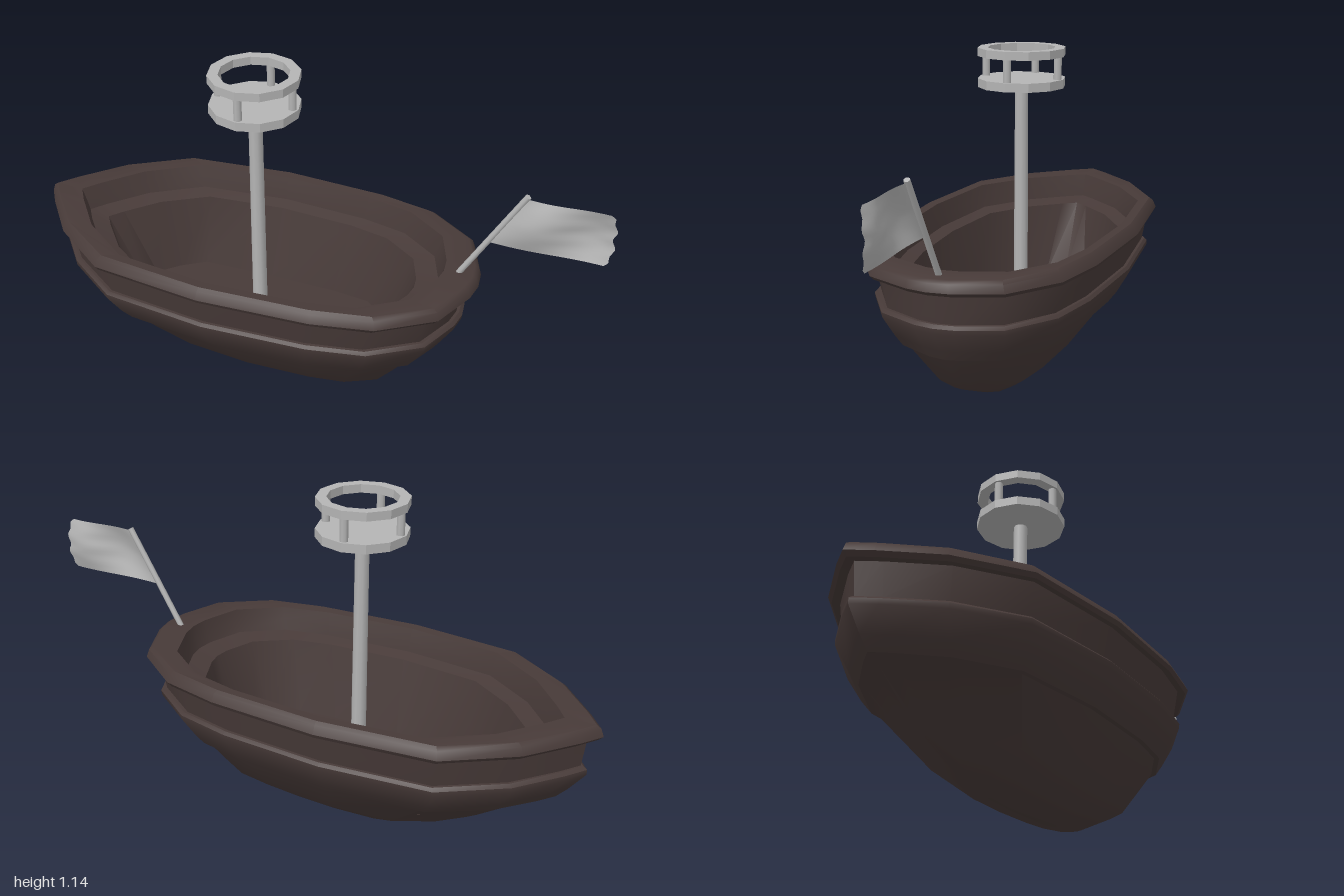
import * as THREE from 'three';
import { toCreasedNormals } from 'three/addons/utils/BufferGeometryUtils.js';

const grey = new THREE.MeshStandardMaterial({ color: 0xb4b4b4 });
const cloth = new THREE.MeshStandardMaterial({ color: 0xb4b4b4, side: THREE.DoubleSide });
const wood = new THREE.MeshStandardMaterial({ color: 0x473a38 });

// Half outlines, bow to stern: [share of length, share of half width]
const POINTED = [[0, 0], [0.031, 0.17], [0.112, 0.545], [0.244, 0.9], [0.4875, 1],
  [0.725, 0.945], [0.85, 0.84], [0.956, 0.545], [0.994, 0.17], [1, 0]];
const BLUNT = [[0, 0], [0, 0.36], [0.07, 0.68], [0.16, 0.96], [0.45, 1],
  [0.72, 1], [0.87, 0.93], [0.97, 0.6], [1, 0.36], [1, 0]];

// Sections from keel, up the outside, over the rim and down to the deck:
// [y, bow x, stern x, half width, outline]
const SECTIONS = [
  [0.0, -0.2, -0.2, 0, POINTED],
  [0.007, -0.32, 0.02, 0.03, POINTED],
  [0.028, -0.43, 0.18, 0.092, POINTED],
  [0.105, -0.62, 0.345, 0.185, POINTED],
  [0.26, -0.855, 0.465, 0.296, POINTED],
  [0.262, -0.875, 0.485, 0.31, POINTED],
  [0.3, -0.91, 0.51, 0.338, POINTED],
  [0.37, -0.963, 0.553, 0.377, POINTED],
  [0.388, -0.963, 0.556, 0.379, POINTED],
  [0.398, -0.95, 0.545, 0.37, POINTED],
  [0.398, -0.942, 0.535, 0.36, POINTED],
  [0.505, -0.953, 0.55, 0.38, POINTED],
  [0.503, -0.985, 0.585, 0.4, POINTED],
  [0.517, -1.0, 0.6, 0.407, POINTED],
  [0.543, -0.99, 0.592, 0.394, POINTED],
  [0.553, -0.975, 0.578, 0.382, POINTED],
  [0.55, -0.875, 0.482, 0.35, POINTED],
  [0.505, -0.86, 0.472, 0.338, POINTED],
  [0.468, -0.85, 0.46, 0.33, POINTED],
  [0.455, -0.775, 0.385, 0.287, POINTED],
  [0.19, -0.64, 0.28, 0.215, BLUNT],
  [0.19, -0.18, -0.18, 0, BLUNT],
];

function hullGeometry() {
  const rings = SECTIONS.map(([y, x0, x1, w, outline]) => {
    const half = outline.map(([u, v]) => [x0 + (x1 - x0) * u, y, w * v]);
    const mirrored = half.slice(1, -1).reverse().map(([x, h, z]) => [x, h, -z]);
    return [...half, ...mirrored];
  });
  const pos = [];
  for (let r = 0; r < rings.length - 1; r++) {
    const lo = rings[r], hi = rings[r + 1], n = lo.length;
    for (let i = 0; i < n; i++) {
      const j = (i + 1) % n;
      // The first and last rings are single points, so they form fans
      if (r > 0) pos.push(...lo[i], ...lo[j], ...hi[j]);
      if (r < rings.length - 2) pos.push(...lo[i], ...hi[j], ...hi[i]);
    }
  }
  const g = new THREE.BufferGeometry();
  g.setAttribute('position', new THREE.Float32BufferAttribute(pos, 3));
  return toCreasedNormals(g, 0.7);
}

function add(parent, name, geometry, material, x = 0, y = 0, z = 0) {
  const m = new THREE.Mesh(geometry, material);
  m.name = name;
  m.position.set(x, y, z);
  parent.add(m);
  return m;
}

// Rod between two points
function rod(parent, name, a, b, radius, sides) {
  const d = b.clone().sub(a);
  const m = add(parent, name, new THREE.CylinderGeometry(radius, radius, d.length(), sides), grey);
  m.position.copy(a).addScaledVector(d, 0.5);
  m.quaternion.setFromUnitVectors(new THREE.Vector3(0, 1, 0), d.normalize());
}

// Cloth billowing at mid height; its inner edge follows the sloping pole
function flagGeometry() {
  const g = new THREE.PlaneGeometry(1, 1, 20, 16);
  const p = g.attributes.position;
  for (let i = 0; i < p.count; i++) {
    const u = p.getX(i) + 0.5, v = p.getY(i) + 0.5;
    const y = 0.69 + 0.183 * v;
    const inner = 0.53 + (y - 0.55) * 0.576;
    const outer = 0.992 + 0.006 * Math.cos(v * 19) - 0.025 * (2 * v - 1) ** 8;
    const billow = 0.2 + 0.8 * Math.sin(Math.PI * v);
    const z = -0.011 + 0.024 * billow * Math.sin(u * 5.6);
    p.setXYZ(i, inner + (outer - inner) * u, y, z);
  }
  g.computeVertexNormals();
  return g;
}

export function createModel() {
  const boat = new THREE.Group();
  boat.name = 'boat';
  add(boat, 'hull', hullGeometry(), wood);

  // Mast
  const cx = -0.175, cz = 0.005;
  add(boat, 'mast', new THREE.CylinderGeometry(0.023, 0.026, 0.83, 10), grey, cx, 0.6, cz);

  // Lookout platform: floor disc, four posts and a ring rail
  const lookout = new THREE.Group();
  lookout.name = 'lookout';
  lookout.position.set(cx, 0, cz);
  boat.add(lookout);
  const floor = new THREE.CylinderGeometry(0.15, 0.15, 0.03, 12);
  add(lookout, 'lookoutFloor', toCreasedNormals(floor, 0.4), grey, 0, 1.025, 0);
  const railProfile = [[0.115, 1.115], [0.15, 1.115], [0.15, 1.143], [0.115, 1.143], [0.115, 1.115]];
  const rail = new THREE.LatheGeometry(railProfile.map(([x, y]) => new THREE.Vector2(x, y)), 12);
  add(lookout, 'lookoutRail', toCreasedNormals(rail, 0.4), grey);
  for (let i = 0; i < 4; i++) {
    const a = (i * Math.PI) / 2;
    add(lookout, 'lookoutPost', new THREE.CylinderGeometry(0.014, 0.014, 0.09, 8), grey,
      0.13 * Math.cos(a), 1.077, 0.13 * Math.sin(a));
  }

  // Stern flag
  rod(boat, 'flagPole', new THREE.Vector3(0.52, 0.533, -0.012), new THREE.Vector3(0.721, 0.882, -0.012), 0.01, 8);
  add(boat, 'flag', flagGeometry(), cloth);
  return boat;
}
